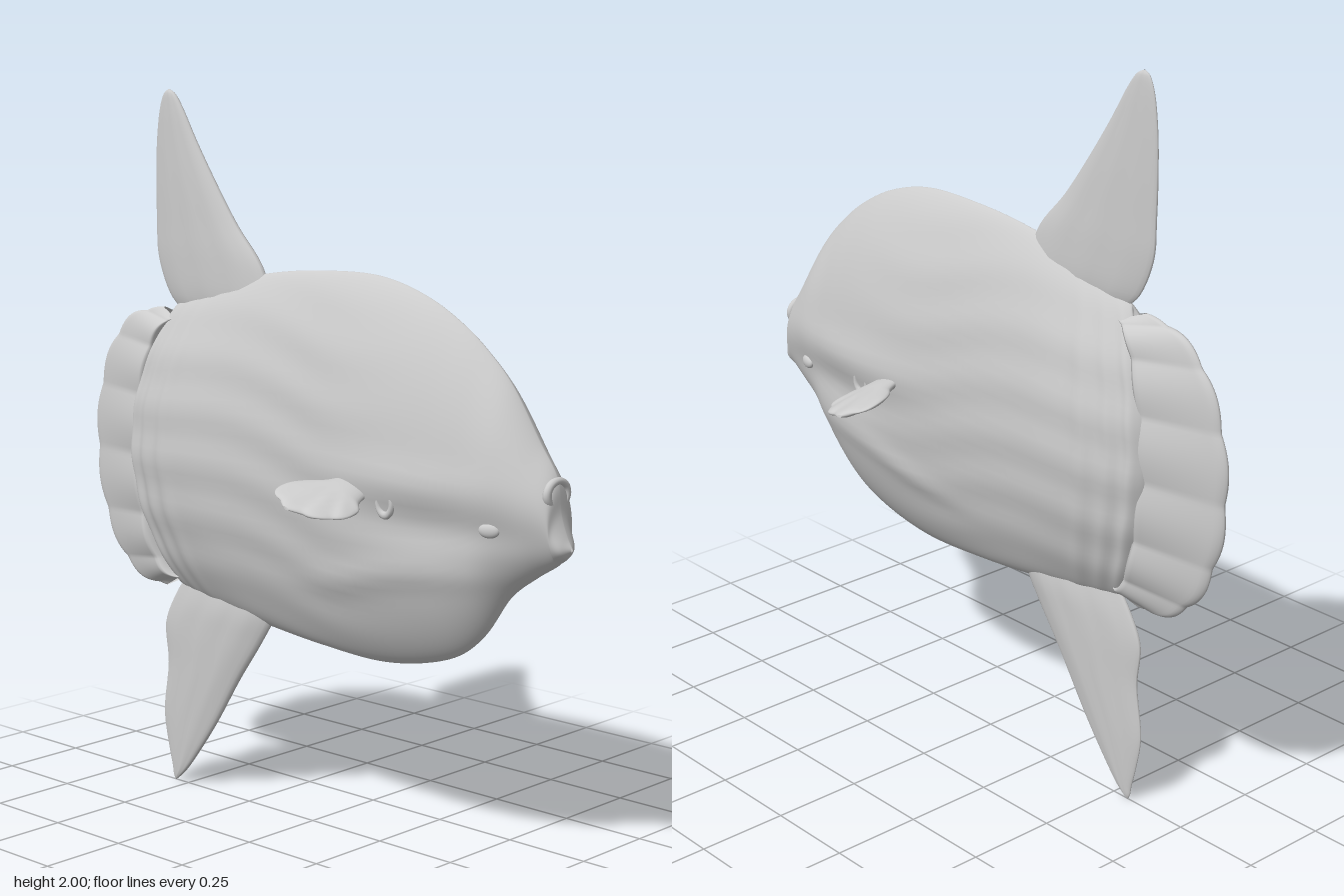
import * as THREE from 'three';
import { mergeVertices } from 'three/addons/utils/BufferGeometryUtils.js';

const { sin, cos, abs, sign, min, PI } = Math;
const bump = (x, c, w) => Math.exp(-(((x - c) / w) ** 2));
const smooth = THREE.MathUtils.smoothstep;

// Closed skin: fn(u, v) gives a point, u runs end to end, v runs around.
function loft(name, rows, cols, fn) {
  const pos = [], index = [];
  for (let i = 0; i <= rows; i++)
    for (let j = 0; j < cols; j++) pos.push(...fn(i / rows, j / cols));
  for (let i = 0; i < rows; i++)
    for (let j = 0; j < cols; j++) {
      const k = (j + 1) % cols, a = i * cols + j, b = i * cols + k, c = a + cols, d = b + cols;
      index.push(a, b, c, b, d, c);
    }
  // Turn the faces outward if the enclosed volume is negative.
  const P = (i) => new THREE.Vector3().fromArray(pos, index[i] * 3);
  let volume = 0;
  for (let i = 0; i < index.length; i += 3) volume += P(i).dot(P(i + 1).cross(P(i + 2)));
  if (volume < 0) index.reverse();
  let geo = new THREE.BufferGeometry();
  geo.setAttribute('position', new THREE.Float32BufferAttribute(pos, 3));
  geo.setIndex(index);
  geo = mergeVertices(geo, 1e-5);
  geo.computeVertexNormals();
  return part(name, geo);
}

function part(name, geo) {
  const mesh = new THREE.Mesh(geo, new THREE.MeshStandardMaterial({ color: 0xcccccc, side: THREE.DoubleSide }));
  mesh.name = name;
  return mesh;
}

// Smooth interpolation through table rows of four numbers.
function spline(table) {
  const curve = (a, b, c) => new THREE.CatmullRomCurve3(
    table.map((r) => new THREE.Vector3(r[a], r[b], r[c])), false, 'centripetal');
  const p = curve(0, 1, 2), q = curve(0, 1, 3);
  return (t) => { const m = p.getPoint(t); return [m.x, m.y, m.z, q.getPoint(t).z]; };
}

// z, top, bottom, half width
const bodyTable = [
  [0.882, 0.905, 0.895, 0.003], [0.868, 0.93, 0.875, 0.03], [0.848, 0.985, 0.86, 0.046],
  [0.836, 1.07, 0.85, 0.055], [0.777, 1.16, 0.813, 0.08], [0.69, 1.29, 0.745, 0.104],
  [0.61, 1.37, 0.635, 0.117], [0.53, 1.43, 0.57, 0.13], [0.41, 1.492, 0.527, 0.144],
  [0.25, 1.534, 0.503, 0.148], [0.03, 1.534, 0.511, 0.13], [-0.15, 1.515, 0.528, 0.129],
  [-0.27, 1.49, 0.543, 0.133], [-0.38, 1.457, 0.56, 0.12], [-0.46, 1.43, 0.577, 0.1],
  [-0.51, 1.41, 0.592, 0.085], [-0.53, 1.395, 0.605, 0.06], [-0.53, 1.35, 0.65, 0.005],
];

function makeBody() {
  const at = spline(bodyTable);
  return loft('body', 130, 96, (u, v) => {
    const [z, top, bottom, w] = at(u);
    const a = v * 2 * PI, s = sin(a), c = cos(a);
    const mid = THREE.MathUtils.lerp((top + bottom) / 2, 1.0, 0.5 * smooth(0.85 - z, 0, 0.3));
    const y = mid + s * (s > 0 ? top - mid : mid - bottom);
    // Rear edge bows backward.
    const rear = smooth(-z, -0.05, 0.5);
    const flank = abs(c) ** 1.5;
    // Cheek hollow, long skin folds and collar ridges.
    let d = 0.012 * bump(y, 1.03, 0.05) * bump(z, 0.45, 0.25) - 0.016 * bump(y, 0.92, 0.05) * bump(z, 0.5, 0.28);
    d += 0.012 * bump(y, 0.8 - 0.1 * bump(z, 0, 0.3), 0.035) * bump(z, 0.3, 0.35);
    d += 0.003 * sin(y * 42 + 5 * z + sin(z * 9)) * smooth(0.5 - z, 0, 0.5);
    d += 0.009 * (bump(z, -0.37, 0.022) + bump(z, -0.44, 0.02) + bump(z, -0.5, 0.018)) - 0.004 * rear;
    const x = sign(c) * flank * Math.max(w + d * min(1, w / 0.06), 0.002);
    return [x, y, z - 0.12 * rear * c * c];
  });
}

// Tall fin from rows of y, leading z, trailing z, half thickness.
function makeFin(name, table) {
  const at = spline(table);
  return loft(name, 40, 32, (u, v) => {
    const [y, lead, trail, thick] = at(u);
    const a = v * 2 * PI;
    const t = (1 - cos(a)) / 2;
    const ripple = 1 + 0.06 * sin(t * 22 + y * 6);
    return [sin(a) * thick * ripple * (1.15 - 0.45 * t), y, lead + (trail - lead) * t];
  });
}

// Scalloped fan behind the body.
function makeTail() {
  return loft('tailFin', 120, 40, (u, v) => {
    const a = (u - 0.5) * PI, p = v * 2 * PI;
    const t = (1 - cos(p)) / 2, ca = Math.max(cos(a), 0);
    const wave = abs(sin(a * 6.5 + 0.4));
    const rimZ = -0.58 - 0.283 * ca ** 0.8 - 0.012 * wave * ca;
    const rimY = 0.982 + (0.398 + 0.01 * wave) * sin(a);
    const baseZ = -0.5 - 0.11 * ca, baseY = 0.99 + 0.37 * sin(a);
    const thick = (0.012 + 0.07 * (1 - t) ** 1.1) * (0.35 + 0.65 * ca ** 0.6) * (0.88 + 0.14 * wave);
    const x = sign(sin(p)) * min(1, abs(sin(p)) * 2) * thick;
    return [x, baseY + (rimY - baseY) * t, baseZ + (rimZ - baseZ) * t];
  });
}

// x, front z, back z, half thickness
const sideFinTable = [
  [0.1, 0.32, 0.23, 0.016], [0.15, 0.325, 0.22, 0.02], [0.18, 0.335, 0.205, 0.02],
  [0.21, 0.36, 0.175, 0.018], [0.25, 0.36, 0.152, 0.016], [0.29, 0.335, 0.153, 0.013],
  [0.32, 0.295, 0.175, 0.01], [0.337, 0.24, 0.22, 0.004],
];

function makeSideFin(name, side) {
  const at = spline(sideFinTable);
  return loft(name, 36, 32, (u, v) => {
    const [x, front, back, thick] = at(u);
    const a = v * 2 * PI, t = (1 - cos(a)) / 2;
    const z = front + (back - front) * t;
    const fan = Math.atan2(z - 0.27, x - 0.13);
    const out = smooth(x, 0.18, 0.26);
    const scallop = 1 + 0.05 * out * (abs(sin(fan * 8)) - 0.5);
    const y = 1.0 - 0.22 * (x - 0.13) - 0.3 * (z - 0.27) + sin(a) * thick * (1 + 0.15 * out * sin(fan * 16));
    return [side * (0.13 + (x - 0.13) * scallop), y, 0.27 + (z - 0.27) * scallop];
  });
}

export function createModel() {
  const model = new THREE.Group();
  model.name = 'sunfish';
  model.add(makeBody(), makeTail());
  model.add(makeFin('dorsalFin', [
    [1.38, -0.13, -0.5, 0.02], [1.43, -0.15, -0.555, 0.03], [1.53, -0.19, -0.6, 0.031],
    [1.635, -0.284, -0.606, 0.027], [1.74, -0.362, -0.607, 0.023], [1.86, -0.443, -0.602, 0.017],
    [1.95, -0.498, -0.588, 0.012], [1.988, -0.528, -0.572, 0.008], [2.0, -0.55, -0.555, 0.002],
  ]));
  model.add(makeFin('analFin', [
    [0.62, -0.13, -0.5, 0.02], [0.55, -0.15, -0.55, 0.03], [0.47, -0.2, -0.587, 0.03],
    [0.352, -0.284, -0.578, 0.026], [0.2, -0.382, -0.597, 0.019], [0.1, -0.456, -0.58, 0.014],
    [0.04, -0.505, -0.565, 0.01], [0.012, -0.535, -0.56, 0.006], [0.0, -0.55, -0.553, 0.002],
  ]));

  // Lips and beak
  const lips = part('lips', new THREE.TorusGeometry(0.034, 0.011, 12, 36));
  lips.scale.set(1.15, 0.95, 1);
  lips.position.set(0, 1.035, 0.832);
  const beak = part('beak', new THREE.SphereGeometry(0.034, 24, 16));
  beak.scale.set(1.1, 0.85, 0.3);
  beak.position.set(0, 1.035, 0.83);
  model.add(lips, beak);

  for (const [label, side] of [['left', 1], ['right', -1]]) {
    model.add(makeSideFin(label + 'PectoralFin', side));
    // Eye with lid
    const eye = part(label + 'Eye', new THREE.SphereGeometry(0.024, 24, 16));
    eye.scale.set(0.5, 0.8, 1.2);
    eye.position.set(side * 0.089, 0.935, 0.69);
    eye.rotation.y = side * -0.25;
    // Gill opening ahead of the fin
    const gill = part(label + 'Gill', new THREE.TorusGeometry(0.026, 0.009, 10, 28));
    gill.scale.set(0.9, 1.2, 1);
    gill.rotation.y = PI / 2;
    gill.position.set(side * 0.137, 0.97, 0.385);
    model.add(eye, gill);
  }
  return model;
}
